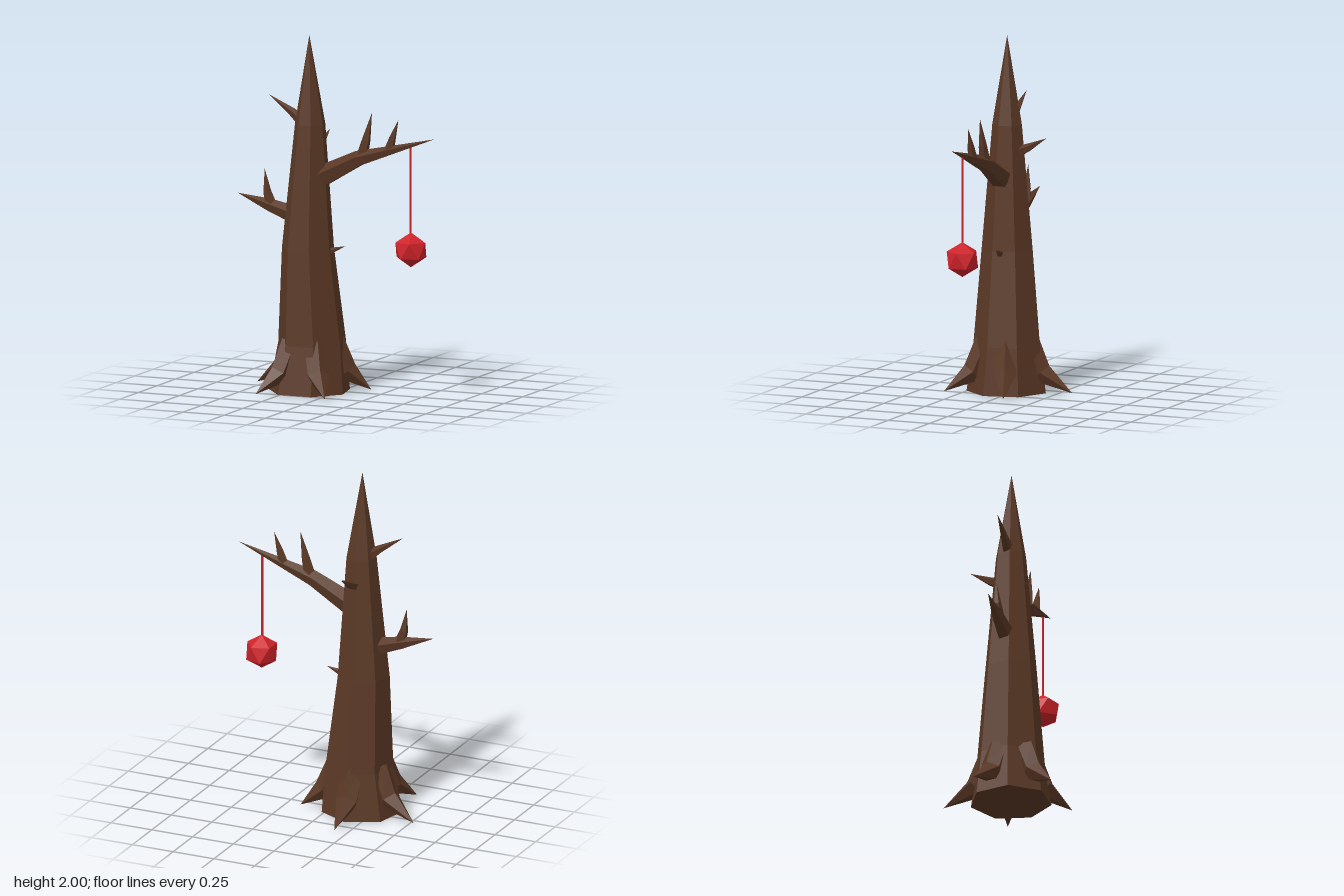
import * as THREE from 'three';

const bark = new THREE.MeshStandardMaterial({ color: 0x5a3825 });
bark.name = 'darkBark';
const red = new THREE.MeshStandardMaterial({ color: 0xcf2329 });
red.name = 'ornamentRed';

// Faceted limb through rings [x, y, z, radius]; radius 0 ends it in a point.
function limb(name, rings, sides = 5, axis = null) {
  const centres = rings.map(([x, y, z]) => new THREE.Vector3(x, y, z));
  const loops = rings.map(([, , , r], i) => {
    const prev = centres[Math.max(i - 1, 0)];
    const next = centres[Math.min(i + 1, rings.length - 1)];
    const dir = axis ? axis.clone() : next.clone().sub(prev).normalize();
    const side = dir.clone().cross(new THREE.Vector3(0, 1, 0));
    if (side.length() < 0.01) side.set(-1, 0, 0);
    side.normalize();
    const up = side.clone().cross(dir);
    return Array.from({ length: sides }, (_, k) => {
      const a = (k / sides) * Math.PI * 2;
      return centres[i].clone()
        .addScaledVector(up, r * Math.cos(a))
        .addScaledVector(side, r * Math.sin(a));
    });
  });
  const pos = [];
  const tri = (...pts) => pts.forEach((p) => pos.push(p.x, p.y, p.z));
  for (let k = 0; k < sides; k++) {
    const n = (k + 1) % sides;
    tri(centres[0], loops[0][n], loops[0][k]); // end cap
    for (let i = 0; i + 1 < loops.length; i++) {
      const a = loops[i], b = loops[i + 1];
      tri(a[k], a[n], b[n]);
      if (rings[i + 1][3] > 0) tri(a[k], b[n], b[k]);
    }
  }
  const g = new THREE.BufferGeometry();
  g.setAttribute('position', new THREE.Float32BufferAttribute(pos, 3));
  g.computeVertexNormals(); // unshared corners keep the facets flat
  const mesh = new THREE.Mesh(g, bark);
  mesh.name = name;
  return mesh;
}

export function createModel() {
  const model = new THREE.Group();
  model.name = 'bareTree';

  // Seven-sided trunk tapering to a spike
  model.add(limb('trunk', [
    [-0.163, 0, 0.045, 0.23],
    [-0.15, 0.27, 0.038, 0.193],
    [-0.172, 0.8, 0.047, 0.148],
    [-0.16, 1.5, 0.045, 0.086],
    [-0.163, 2, 0.05, 0],
  ], 7, new THREE.Vector3(0, 1, 0)));

  // Five roots, each bending outward to a tip
  const roots = new THREE.Group();
  roots.name = 'roots';
  const cx = -0.16, cz = 0.043;
  for (const [x, z] of [[-0.175, -0.34], [0.16, -0.07], [0.06, 0.335], [-0.36, 0.34], [-0.53, -0.06]]) {
    const len = Math.hypot(x - cx, z - cz);
    const ux = (x - cx) / len, uz = (z - cz) / len;
    const at = (d, y, r) => [cx + ux * d, y, cz + uz * d, r];
    roots.add(limb('root', [at(0.12, 0.28, 0.07), at(0.2, 0.11, 0.065), at(len, 0.01, 0)]));
  }
  model.add(roots);

  // Branches
  model.add(
    limb('longBranch', [[-0.08, 1.21, 0.052, 0.064], [0.135, 1.322, 0.047, 0.047], [0.595, 1.463, 0.045, 0]]),
    limb('sideBranch', [[-0.25, 0.98, 0.045, 0.052], [-0.41, 1.028, 0.045, 0.036], [-0.6, 1.082, 0.047, 0]]),
    limb('upperBranch', [[-0.21, 1.515, 0.045, 0.034], [-0.27, 1.56, 0.045, 0.024], [-0.415, 1.65, 0.045, 0]]),
    limb('backBranch', [[-0.155, 1.35, -0.02, 0.034], [-0.15, 1.375, -0.08, 0.024], [-0.148, 1.437, -0.195, 0]]),
    limb('stubBranch', [[-0.05, 0.785, 0.04, 0.022], [-0.015, 0.8, 0.035, 0.014], [0.045, 0.822, 0.025, 0]]),
  );

  // Upright twigs
  const twigs = new THREE.Group();
  twigs.name = 'twigs';
  twigs.add(
    limb('twig', [[0.155, 1.335, 0.045, 0.034], [0.18, 1.43, 0.045, 0.025], [0.216, 1.587, 0.045, 0]]),
    limb('twig', [[0.32, 1.385, 0.045, 0.028], [0.34, 1.45, 0.045, 0.02], [0.377, 1.557, 0.045, 0]]),
    limb('twig', [[-0.395, 1.025, 0.045, 0.034], [-0.42, 1.1, 0.045, 0.024], [-0.437, 1.228, 0.045, 0]]),
  );
  model.add(twigs);

  // Hanging ornament: string and twenty-sided ball with a corner on top
  const string = new THREE.Mesh(new THREE.CylinderGeometry(0.006, 0.006, 0.49, 6), red);
  string.name = 'string';
  string.position.set(0.45, 1.165, 0.045);
  const ballGeo = new THREE.IcosahedronGeometry(0.098, 0);
  ballGeo.rotateZ(-Math.atan(2 / (1 + Math.sqrt(5))));
  const ball = new THREE.Mesh(ballGeo, red);
  ball.name = 'ball';
  ball.position.set(0.453, 0.833, 0.045);
  model.add(string, ball);

  return model;
}
